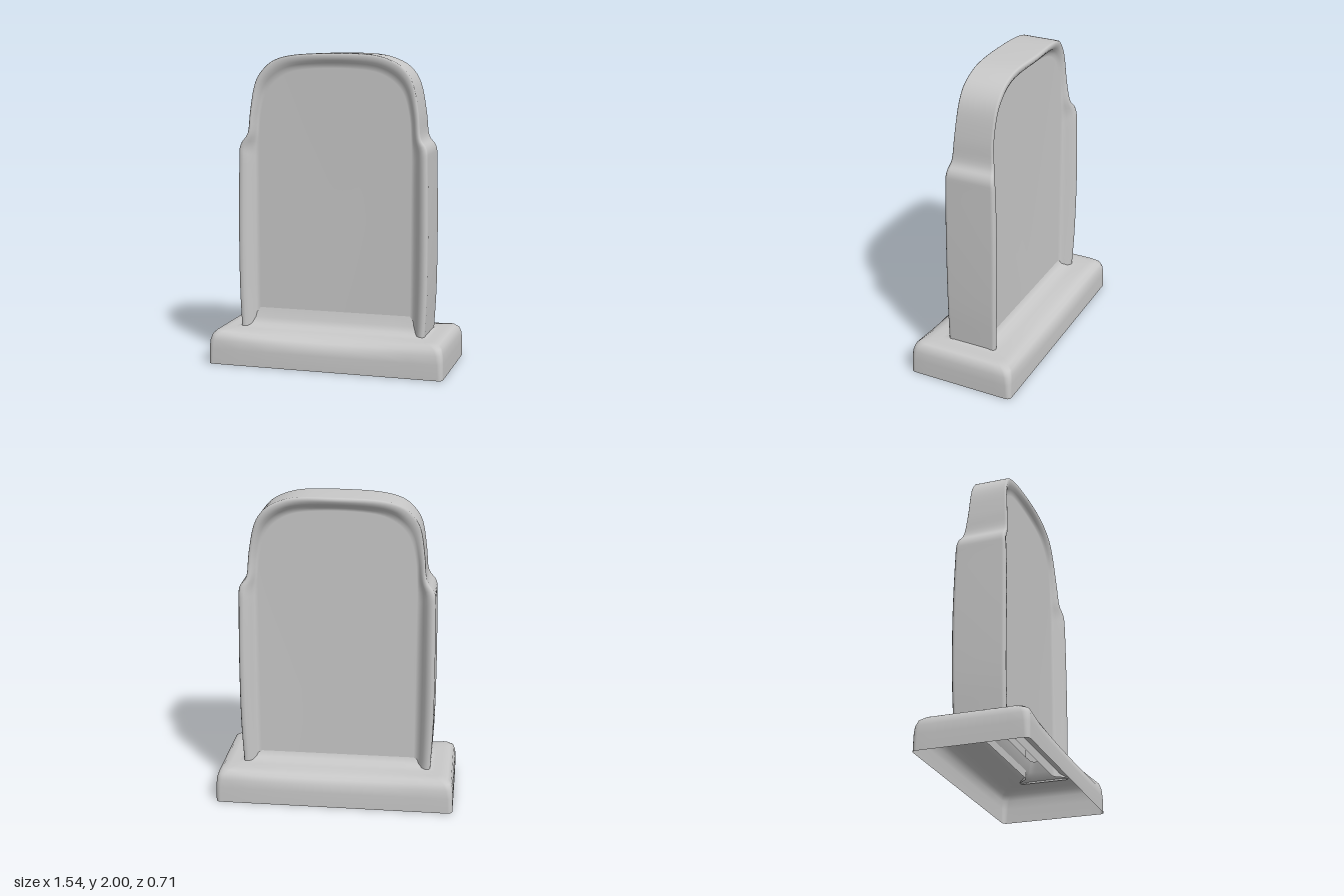
import * as THREE from 'three';

const stone = new THREE.MeshStandardMaterial({ color: 0xc8c8c8, side: THREE.DoubleSide });
stone.name = 'grey stone';

// Skin a list of equal-length rings; optional caps fan out from a point on the first and last ring
function loft(rings, closed, startCap, endCap) {
  const n = rings[0].length, pos = [], idx = [];
  rings.forEach(r => r.forEach(p => pos.push(p.x, p.y, p.z)));
  const last = (rings.length - 1) * n;
  const spans = closed ? n : n - 1;
  for (let v = 0; v < rings.length - 1; v++) {
    for (let u = 0; u < spans; u++) {
      const a = v * n + u, d = v * n + (u + 1) % n;
      idx.push(a, a + n, d + n, a, d + n, d);
    }
  }
  if (startCap) {
    const c = pos.length / 3;
    pos.push(startCap.x, startCap.y, startCap.z);
    for (let u = 0; u < spans; u++) idx.push(c, u, u + 1);
  }
  if (endCap) {
    const c = pos.length / 3;
    pos.push(endCap.x, endCap.y, endCap.z);
    for (let u = 0; u < spans; u++) idx.push(c, last + u + 1, last + u);
  }
  const geo = new THREE.BufferGeometry();
  geo.setAttribute('position', new THREE.Float32BufferAttribute(pos, 3));
  geo.setIndex(idx);
  geo.computeVertexNormals();
  return geo;
}

// Upright slab: shouldered outline, raised rim and side pillars, recessed arched panels
function slabGeometry() {
  // x, y, front rim z, back rim z
  const left = [
    [0.615, 0.21, 0.16, -0.17], [0.628, 0.5, 0.16, -0.18], [0.63, 0.9, 0.16, -0.185],
    [0.624, 1.3, 0.157, -0.178], [0.617, 1.41, 0.15, -0.17], [0.573, 1.48, 0.132, -0.15],
    [0.557, 1.63, 0.12, -0.14], [0.52, 1.81, 0.11, -0.145], [0.455, 1.91, 0.11, -0.15],
    [0.36, 1.965, 0.11, -0.15], [0.23, 1.995, 0.112, -0.155], [0, 2, 0.115, -0.17],
  ];
  // the right side is more worn above the shoulder
  const right = [
    ...left.slice(0, 5), [0.565, 1.49, 0.147, -0.145], [0.55, 1.63, 0.14, -0.125],
    [0.52, 1.81, 0.125, -0.118], [0.455, 1.91, 0.115, -0.125], [0.37, 1.965, 0.108, -0.142],
    [0.23, 1.992, 0.11, -0.155],
  ];
  // panel edge, matched point for point with the outline
  const arch = [
    [0.505, 0.21], [0.505, 0.5], [0.505, 0.9], [0.505, 1.25], [0.505, 1.37], [0.502, 1.47],
    [0.492, 1.6], [0.46, 1.73], [0.405, 1.81], [0.315, 1.868], [0.2, 1.895], [0, 1.905],
  ];
  const mirror = points => points.slice(0, 11).reverse().map(([x, ...rest]) => [-x, ...rest]);
  const outline = [...left, ...mirror(right)];
  const panelEdge = [...arch, ...mirror(arch)];
  const smooth = points => new THREE.CatmullRomCurve3(points, false, 'catmullrom', 0.5).getPoints(88);
  // fraction of the way from panel edge to outline, height between panel and rim
  const profile = [[0, 0], [0.2, 0.1], [0.36, 0.4], [0.52, 0.78], [0.7, 0.97], [0.86, 1], [0.96, 0.9], [1, 0.7]];
  const side = (k, panel) => {
    const outer = smooth(outline.map(p => new THREE.Vector3(p[0], p[1], p[k])));
    const inner = smooth(panelEdge.map(p => new THREE.Vector3(p[0], p[1], panel)));
    return profile.map(([t, h]) => outer.map((p, i) => new THREE.Vector3(
      THREE.MathUtils.lerp(inner[i].x, p.x, t),
      THREE.MathUtils.lerp(inner[i].y, p.y, t),
      THREE.MathUtils.lerp(panel, p.z, h))));
  };
  const frontZ = 0.082, backZ = -0.1;
  return loft([...side(2, frontZ), ...side(3, backZ).reverse()], false,
    new THREE.Vector3(0, 0.21, frontZ), new THREE.Vector3(0, 0.21, backZ));
}

// Rounded rectangle ring, anticlockwise from above, with straight edges subdivided
function roundedRing(w, d, r, y, sag) {
  const ring = [], steps = 5, edge = 8;
  const corners = [[1, 1], [-1, 1], [-1, -1], [1, -1]];
  const arc = i => Array.from({ length: steps }, (_, k) => {
    const a = (i + k / (steps - 1)) * Math.PI / 2;
    const [sx, sz] = corners[i];
    return new THREE.Vector3(sx * (w - r) + r * Math.cos(a), y, -(sz * (d - r) + r * Math.sin(a)));
  });
  for (let i = 0; i < 4; i++) {
    const here = arc(i), next = arc((i + 1) % 4)[0];
    ring.push(...here);
    for (let k = 1; k < edge; k++) ring.push(here[steps - 1].clone().lerp(next, k / edge));
  }
  // worn dip along the middle of the long edges, deeper at the front
  ring.forEach(p => {
    const wear = p.z > 0 ? 1.3 : 0.7;
    const dip = sag * wear * Math.max(0, 1 - (p.x / 0.7) ** 2) * Math.abs(p.z) / d;
    p.y -= dip * 0.7;
    p.z -= Math.sign(p.z) * dip;
  });
  return ring;
}

// Plinth: open underneath, soft top edge, fillet rising to the slab
function plinthGeometry() {
  const rings = [
    [0.772, 0.355, 0.03, 0, 0], [0.772, 0.355, 0.035, 0.1, 0], [0.768, 0.352, 0.04, 0.155, 0.006],
    [0.757, 0.34, 0.045, 0.192, 0.02], [0.735, 0.315, 0.05, 0.212, 0.026],
    [0.69, 0.265, 0.05, 0.217, 0.014], [0.645, 0.2, 0.04, 0.214, 0],
    [0.62, 0.15, 0.03, 0.219, 0], [0.6, 0.12, 0.03, 0.234, 0], [0.58, 0.098, 0.03, 0.27, 0],
    [0.56, 0.08, 0.03, 0.34, 0],
  ].map(r => roundedRing(...r));
  // rings run bottom to top, so reverse them to face outwards
  return loft(rings.reverse(), true);
}

export function createModel() {
  const group = new THREE.Group();
  group.name = 'gravestone';
  const add = (name, geometry) => {
    const mesh = new THREE.Mesh(geometry, stone);
    mesh.name = name;
    group.add(mesh);
  };
  add('plinth', plinthGeometry());
  add('slab', slabGeometry());
  return group;
}
